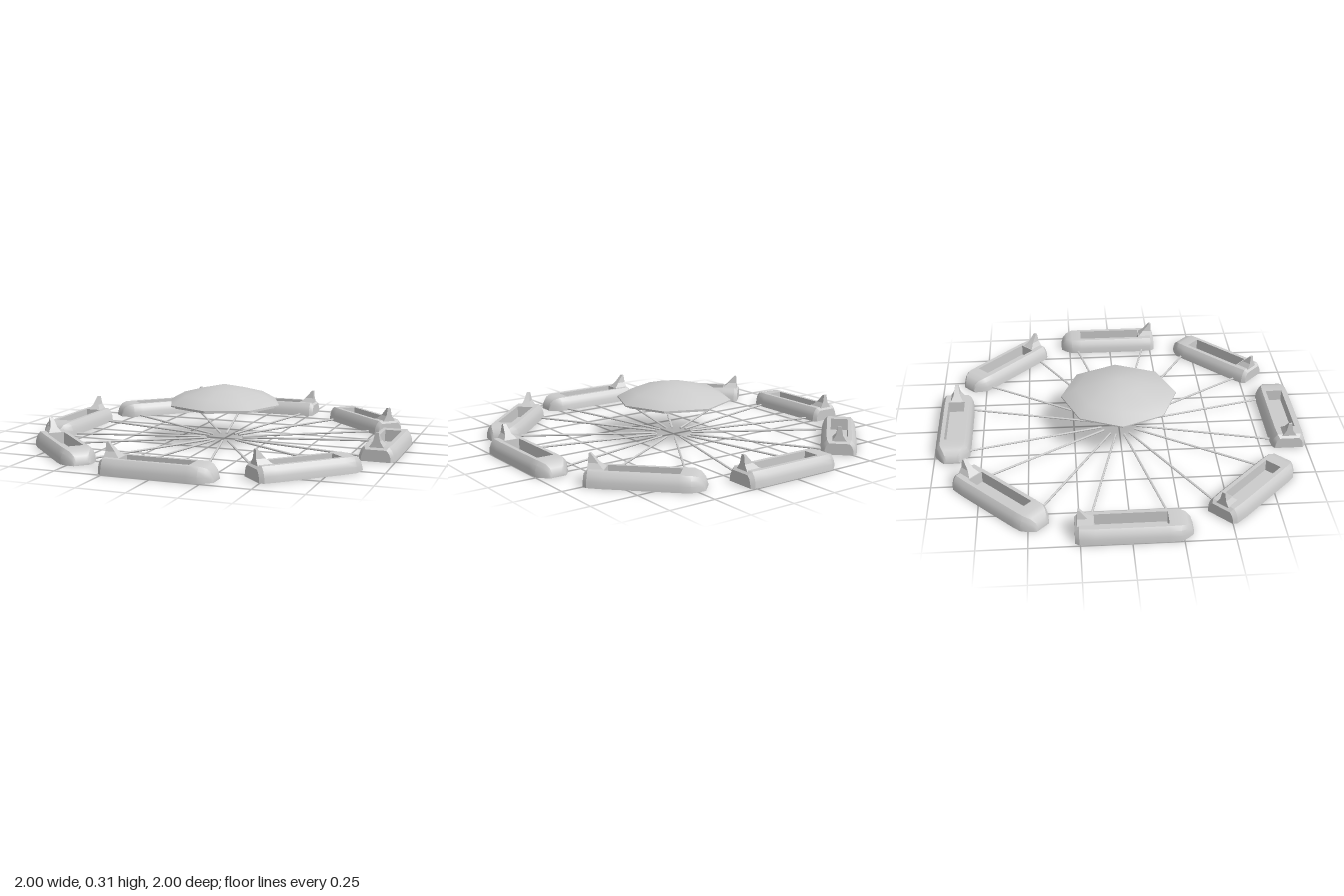
import * as THREE from 'three';
import { toCreasedNormals } from 'three/addons/utils/BufferGeometryUtils.js';

const material = new THREE.MeshStandardMaterial({ color: 0xcccccc, side: THREE.DoubleSide });

function part(name, geometry, crease = 0.5) {
  const mesh = new THREE.Mesh(toCreasedNormals(geometry, crease), material);
  mesh.name = name;
  return mesh;
}

// Skin a row of equal-length rings and cap both ends.
// Rings run clockwise as seen from the end they advance towards.
function loft(rings) {
  const n = rings[0].length;
  const positions = rings.flat(2);
  const index = [];
  for (let i = 0; i < rings.length - 1; i++) {
    for (let j = 0; j < n; j++) {
      const k = (j + 1) % n;
      const a = i * n + j, b = i * n + k, c = a + n, d = b + n;
      index.push(a, c, b, b, c, d);
    }
  }
  const last = (rings.length - 1) * n;
  for (let j = 1; j < n - 1; j++) {
    index.push(0, j, j + 1);
    index.push(last, last + j + 1, last + j);
  }
  const geometry = new THREE.BufferGeometry();
  geometry.setAttribute('position', new THREE.Float32BufferAttribute(positions, 3));
  geometry.setIndex(index);
  return geometry;
}

// Hull cross-section at x; floor is the height of the middle of the deck
function hullRing(x, w, h, floor = 0.075) {
  const half = [[0.095, 0], [0.092, 0.03], [0.083, 0.055], [0.066, 0.075], [0.045, 0.075], [0.045, floor]];
  const left = half.map(([z, y]) => [x, y * h, z * w]);
  const right = half.map(([z, y]) => [x, y * h, -z * w]).reverse();
  return [...left, ...right];
}

// Rectangular fin cross-section at height y
function finRing(y, x0, x1, z) {
  return [[x0, y, -z], [x1, y, -z], [x1, y, z], [x0, y, z]];
}

function createCar() {
  const car = new THREE.Group();
  // Hull with blunt tail, sunken cockpit and rounded nose
  car.add(part('hull', loft([
    hullRing(-0.275, 0.8, 0.8),
    hullRing(-0.255, 0.95, 1),
    hullRing(-0.18, 1, 1),
    hullRing(-0.18, 1, 1, 0.012),
    hullRing(0.18, 1, 1, 0.012),
    hullRing(0.18, 1, 1),
    hullRing(0.235, 0.97, 1),
    hullRing(0.268, 0.76, 0.88),
    hullRing(0.29, 0.56, 0.6),
    hullRing(0.3, 0.45, 0.2),
  ])));
  // Tail fin
  car.add(part('tailFin', loft([
    finRing(0.07, -0.264, -0.18, 0.038),
    finRing(0.1, -0.262, -0.212, 0.018),
    finRing(0.145, -0.26, -0.25, 0.009),
  ]), 0.3));
  car.position.z = 0.905;
  return car;
}

export function createModel() {
  const model = new THREE.Group();
  model.name = 'carousel';

  // Canopy: shallow eight-sided dome with a narrow rim
  const profile = [[0.29, 0.188], [0.29, 0.199], [0.315, 0.199], [0.315, 0.206],
    [0.235, 0.25], [0.12, 0.28], [0, 0.305]];
  model.add(part('canopy', new THREE.LatheGeometry(
    profile.map(([x, y]) => new THREE.Vector2(x, y)), 8)));

  // Eight cars, each carried by two radial rods
  const inner = 0.1, outer = 0.855;
  for (let i = 0; i < 8; i++) {
    const arm = new THREE.Group();
    arm.name = 'arm' + (i + 1);
    const car = createCar();
    car.name = 'car';
    arm.add(car);
    for (const side of [-1, 1]) {
      const geometry = new THREE.CylinderGeometry(0.006, 0.006, outer - inner, 6);
      geometry.rotateX(Math.PI / 2);
      geometry.translate(0, 0.008, (inner + outer) / 2);
      const rod = part('rod', geometry, 1.2);
      rod.rotation.y = side * 0.238;
      arm.add(rod);
    }
    arm.rotation.y = i * Math.PI / 4;
    model.add(arm);
  }
  return model;
}
